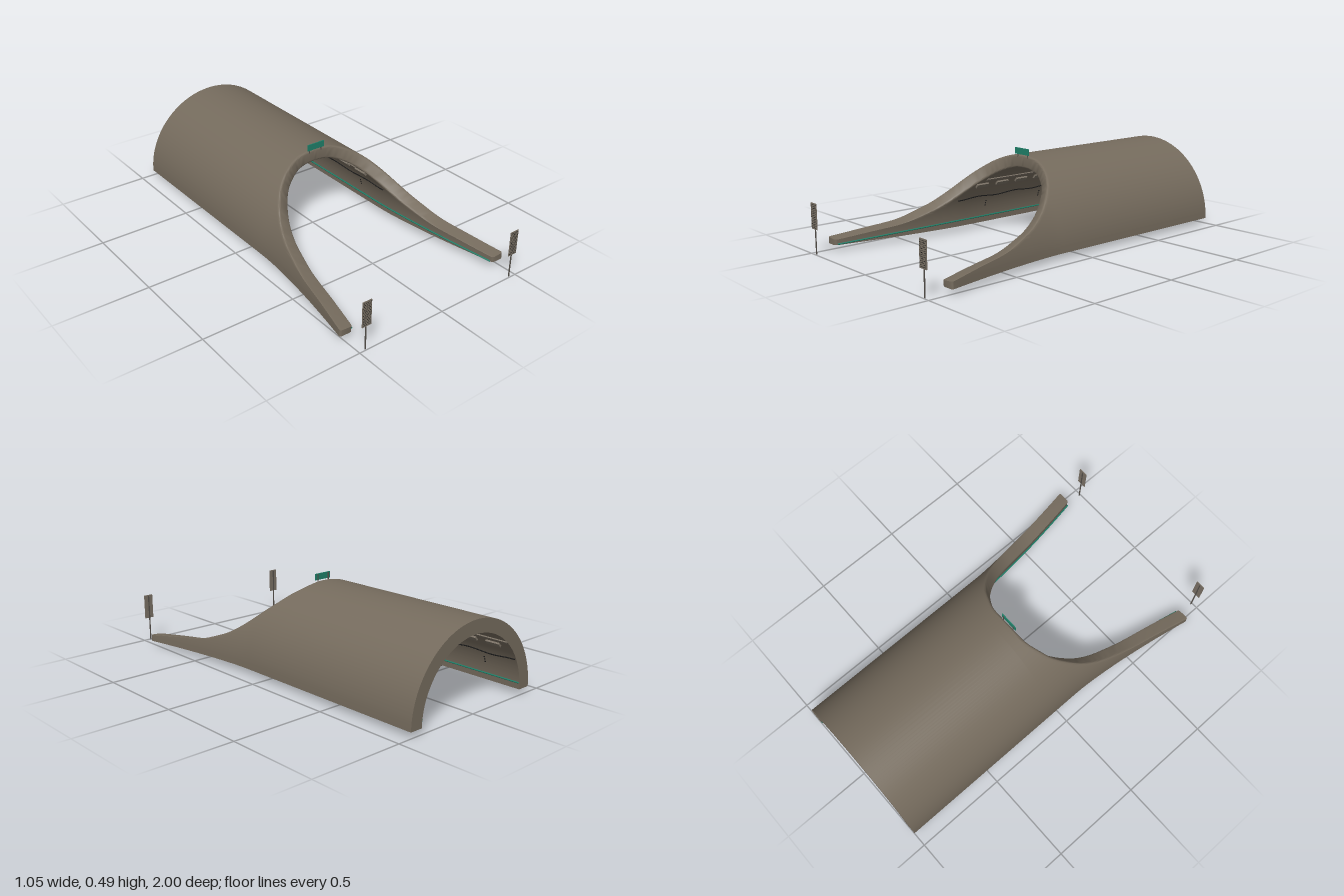
import * as THREE from 'three';
import { mergeGeometries, toCreasedNormals } from 'three/addons/utils/BufferGeometryUtils.js';

const BASE = 0.03, OUTER = 0.425, INNER = 0.355, BEVEL = 0.012;

const mat = (name, color) => {
  const m = new THREE.MeshStandardMaterial({ color });
  m.name = name;
  return m;
};

// sideways flare of the walls towards the open front
const flare = (z) => 0.157 * Math.pow(Math.max(0, z - 0.15), 1.5);

// point on the vault: angle a from the +x foot, radius r, depth z
function wall(a, r, z) {
  const c = Math.cos(a);
  return new THREE.Vector3(c * r + Math.sign(c) * flare(z), BASE + Math.sin(a) * r, z);
}

// vault with a swept-back mouth: one closed ring of points per angle
function vaultGeometry() {
  const mouth = new THREE.SplineCurve([
    [0.082, 0.89], [0.135, 0.71], [0.189, 0.53], [0.29, 0.4], [0.4, 0.3], [0.585, 0.2],
    [0.87, 0.1], [1.1, 0.052], [1.304, 0.025], [Math.PI / 2, 0.02],
  ].map(([a, z]) => new THREE.Vector2(a, z)));
  const half = [new THREE.Vector2(0, 0.89), ...mouth.getPoints(54)];
  const columns = half.map((p) => [p.x, p.y]);
  for (let i = half.length - 2; i >= 0; i--) columns.push([Math.PI - half[i].x, half[i].y]);

  const pos = [], index = [];
  let n = 0;
  for (const [a, f] of columns) {
    const out = [[OUTER, -1]], inn = [[INNER, -1]];
    const add = (inset, z) => { out.push([OUTER - inset, z]); inn.push([INNER + inset, z]); };
    for (let k = 0; k <= 16; k++) add(0, -0.05 + (f - BEVEL + 0.05) * k / 16);
    for (let k = 1; k <= 4; k++) {
      const t = k * Math.PI / 8;
      add(BEVEL * (1 - Math.cos(t)), f - BEVEL + BEVEL * Math.sin(t));
    }
    const ring = [...out, ...inn.reverse()];
    n = ring.length;
    for (const [r, z] of ring) pos.push(...wall(a, r, z).toArray());
  }
  const quad = (a, b, c, d) => index.push(a, b, c, a, c, d);
  const last = (columns.length - 1) * n;
  for (let i = 0; i < columns.length - 1; i++) {
    for (let j = 0; j < n; j++) {
      const k = (j + 1) % n;
      quad(i * n + j, (i + 1) * n + j, (i + 1) * n + k, i * n + k);
    }
  }
  // flat undersides of both feet
  for (let j = 0; j < n / 2 - 1; j++) {
    quad(j, j + 1, n - 2 - j, n - 1 - j);
    quad(last + j, last + n - 1 - j, last + n - 2 - j, last + j + 1);
  }
  const g = new THREE.BufferGeometry();
  g.setAttribute('position', new THREE.Float32BufferAttribute(pos, 3));
  g.setIndex(index);
  return toCreasedNormals(g, 0.6);
}

export function createModel() {
  const concrete = mat('concrete', 0x756b5d);
  const fitting = mat('fitting', 0x7a7165);
  const steel = mat('steel', 0x55504a);
  const green = mat('green', 0x1f8069);
  const black = mat('black', 0x1a1a1a);

  const model = new THREE.Group();
  model.name = 'tunnelPortal';
  const mesh = (name, geometry, material, parent = model) => {
    const m = new THREE.Mesh(geometry, material);
    m.name = name;
    parent.add(m);
    return m;
  };
  const box = (name, size, at, material, parent) => {
    const m = mesh(name, new THREE.BoxGeometry(...size), material, parent);
    m.position.set(...at);
    return m;
  };

  mesh('vault', vaultGeometry(), concrete);

  // sign on the crown of the portal
  box('crownSign', [0.104, 0.034, 0.005], [0, 0.475, 0.024], green);
  for (const x of [-0.037, 0.037]) box('crownSignPost', [0.004, 0.05, 0.004], [x, 0.465, 0.0195], steel);

  for (const s of [1, -1]) {
    const side = new THREE.Group();
    side.name = s > 0 ? 'leftFittings' : 'rightFittings';
    model.add(side);
    const ang = (a) => (s > 0 ? a : Math.PI - a);

    // box lying flat against the inner wall
    const onWall = (name, a, depth, height, length, z, material) => {
      const p = wall(ang(a), INNER - depth / 2 + 0.002, z);
      box(name, [depth, height, length], p.toArray(), material, side).rotation.z = ang(a);
    };

    // lamps and the conduit above them
    for (let i = 0; i < 8; i++) onWall('lamp', 0.725, 0.012, 0.024, 0.08, -0.9 + i * 0.14, fitting);
    onWall('conduit', 0.853, 0.008, 0.012, 1.07, -0.465, fitting);

    // sagging cable
    const cable = [];
    for (let i = 0; i <= 48; i++) {
      const z = -0.995 + i * 0.025;
      cable.push(wall(ang(0.46 + 0.014 * Math.sin(z * 24)), INNER - 0.002, z));
    }
    mesh('cable', new THREE.TubeGeometry(new THREE.CatmullRomCurve3(cable), 120, 0.003, 6), black, side);

    // small marker studs in threes
    for (const z of [-0.8, -0.4, 0]) {
      for (const a of [0.28, 0.32, 0.36]) onWall('stud', a, 0.005, 0.006, 0.006, z, black);
    }

    // guide rail following the flared foot
    const rail = [new THREE.Vector3(s * 0.349, 0.065, -1)];
    for (let i = 0; i <= 20; i++) {
      const z = i * 0.044, d = flare(z);
      rail.push(new THREE.Vector3(s * (0.349 + d), 0.065 - 0.3 * d, z));
    }
    mesh('guideRail', new THREE.TubeGeometry(new THREE.CatmullRomCurve3(rail), 100, 0.0042, 8), green, side);

    // roadside board with a perforated face
    const board = new THREE.Group();
    board.name = 'roadsideBoard';
    board.position.set(s * 0.463, 0, 0.995);
    side.add(board);
    box('boardPost', [0.006, 0.26, 0.004], [0, 0.13, -0.003], steel, board);
    box('boardPanel', [0.052, 0.134, 0.004], [0, 0.198, 0.001], fitting, board);
    const dots = [];
    for (let r = 0; r < 14; r++) {
      for (let c = 0; c < 5; c++) {
        const x = -0.021 + c * 0.0095 + (r % 2) * 0.004;
        dots.push(new THREE.BoxGeometry(0.004, 0.003, 0.001).translate(x, 0.1395 + r * 0.009, 0.0033));
      }
    }
    mesh('boardDots', mergeGeometries(dots), black, board);
  }
  return model;
}
